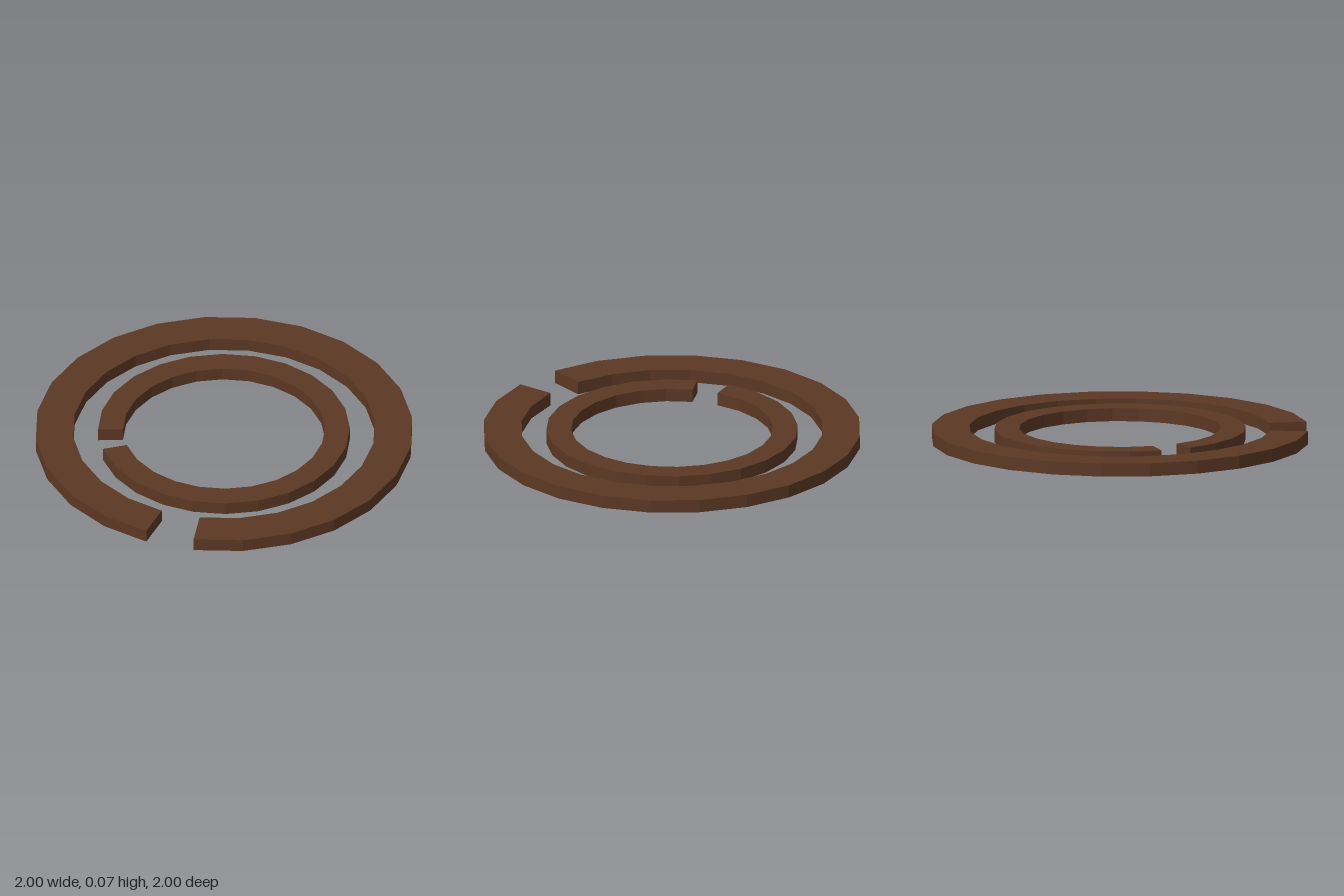
import * as THREE from 'three';

const HEIGHT = 0.07;
const STEP = Math.PI / 12; // 24-sided rings, one side left open

const brown = new THREE.MeshStandardMaterial({ color: 0x5c3824 });
brown.name = 'brown';

// Faceted flat ring with a one-segment gap just before startDeg (measured from +x towards +z)
function openRing(name, outer, inner, startDeg) {
  const start = THREE.MathUtils.degToRad(startDeg);
  const point = (r, i) => new THREE.Vector2(
    r * Math.cos(start + i * STEP), r * Math.sin(start + i * STEP));
  const outline = [];
  for (let i = 0; i <= 23; i++) outline.push(point(outer, i));
  for (let i = 23; i >= 0; i--) outline.push(point(inner, i));

  const geometry = new THREE.ExtrudeGeometry(new THREE.Shape(outline), {
    depth: HEIGHT, bevelEnabled: false, steps: 1,
  });
  geometry.rotateX(Math.PI / 2); // lay flat
  geometry.translate(0, HEIGHT, 0);
  const mesh = new THREE.Mesh(geometry, brown);
  mesh.name = name;
  return mesh;
}

export function createModel() {
  const model = new THREE.Group();
  model.name = 'openRings';
  model.add(
    openRing('outerRing', 1.003, 0.803, 130), // gap at front right
    openRing('innerRing', 0.668, 0.536, 195), // gap at right side
  );
  return model;
}
